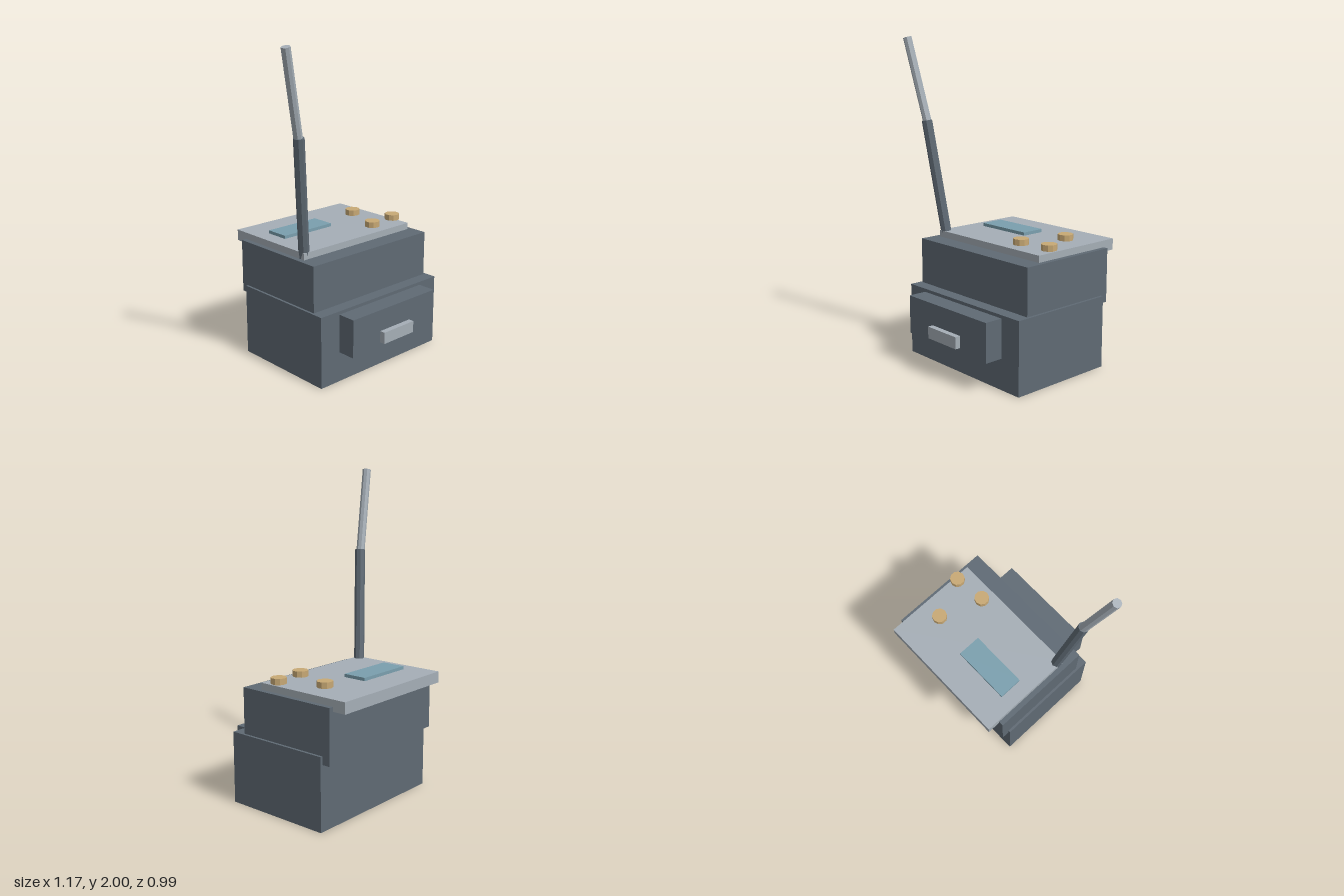
import * as THREE from 'three';

const mat = (name, color) => {
  const m = new THREE.MeshStandardMaterial({ color });
  m.name = name;
  return m;
};

export function createModel() {
  const model = new THREE.Group();
  const slate = mat('slate', 0x5f6a74);
  const steel = mat('paleSteel', 0xa5aeb6);
  const teal = mat('teal', 0x7a9fae);
  const brass = mat('brass', 0xc8a975);

  const add = (name, geometry, material) => {
    const mesh = new THREE.Mesh(geometry, material);
    mesh.name = name;
    model.add(mesh);
    return mesh;
  };

  // Box given by its limits along each axis
  const box = (name, material, [x0, x1], [y0, y1], [z0, z1]) =>
    add(name, new THREE.BoxGeometry(x1 - x0, y1 - y0, z1 - z0), material)
      .position.set((x0 + x1) / 2, (y0 + y1) / 2, (z0 + z1) / 2);

  // Faceted rod between two points
  const rod = (name, material, a, b, radius) => {
    const from = new THREE.Vector3(...a);
    const dir = new THREE.Vector3(...b).sub(from);
    const geo = new THREE.CylinderGeometry(radius, radius, dir.length(), 8).toNonIndexed();
    geo.computeVertexNormals();
    const mesh = add(name, geo, material);
    mesh.position.copy(from).addScaledVector(dir, 0.5);
    mesh.quaternion.setFromUnitVectors(new THREE.Vector3(0, 1, 0), dir.normalize());
  };

  // Stacked body
  box('baseBody', slate, [-0.413, 0.582], [0, 0.45], [-0.362, 0.342]);
  box('upperBody', slate, [-0.398, 0.565], [0.4, 0.738], [-0.412, 0.262]);
  box('topPanel', steel, [-0.365, 0.534], [0.71, 0.78], [-0.498, 0.143]);

  // Front drawer and its handle
  box('drawer', slate, [-0.269, 0.438], [0.19, 0.43], [0.3, 0.46]);
  box('drawerHandle', steel, [-0.043, 0.213], [0.222, 0.295], [0.44, 0.495]);

  // Display on the top panel
  box('display', teal, [-0.269, 0.116], [0.76, 0.8], [-0.299, -0.145]);

  // Control knobs
  for (const [x, z] of [[0.39, -0.227], [0.294, 0.053], [0.503, 0.03]]) {
    const geo = new THREE.CylinderGeometry(0.048, 0.048, 0.037, 10).toNonIndexed();
    geo.computeVertexNormals();
    add('knob', geo, brass).position.set(x, 0.808, z);
  }

  // Two-stage bent aerial
  rod('aerialLower', slate, [-0.334, 0.74, 0.108], [-0.431, 1.482, 0.183], 0.033);
  rod('aerialUpper', steel, [-0.428, 1.46, 0.178], [-0.557, 1.994, 0.231], 0.027);

  return model;
}
